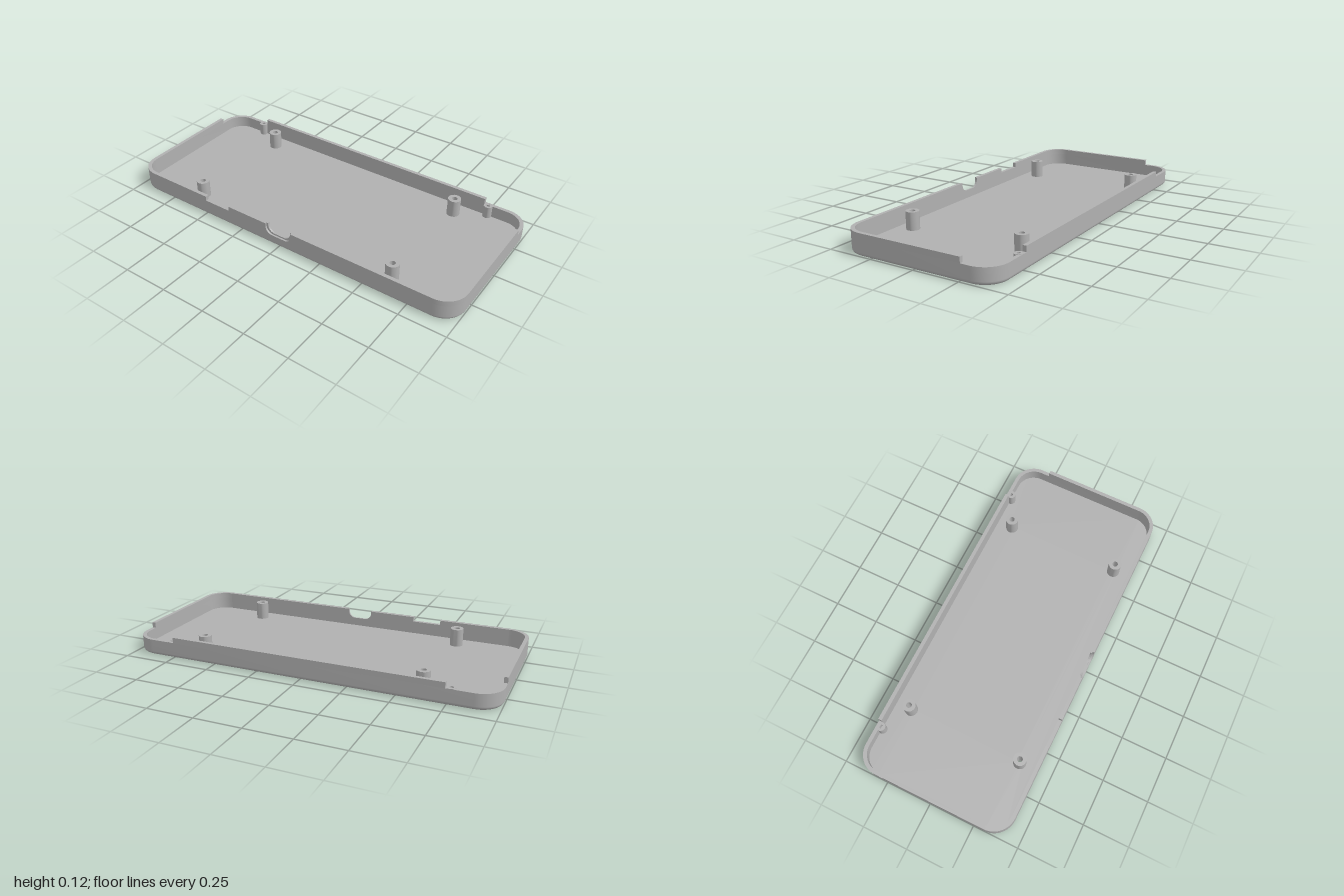
import * as THREE from 'three';
import { toCreasedNormals } from 'three/addons/utils/BufferGeometryUtils.js';

const W = 1, D = 0.43, R = 0.12;               // half width, half depth, corner radius
const FLOOR = 0.02, LOW = 0.086, TOP = 0.116;  // floor, lowered rim and full rim heights
const T = 0.02;                                // wall thickness
const BOSS_X = 0.61, BOSS_Z = 0.322, BORE = 0.015;

export function createModel() {
  const group = new THREE.Group();
  const grey = new THREE.MeshStandardMaterial({ color: 0xb0b0b0 });
  grey.name = 'grey plastic';

  const add = (name, geometry) => {
    const mesh = new THREE.Mesh(geometry, grey);
    mesh.name = name;
    group.add(mesh);
    return mesh;
  };

  // Points with outward directions around one rounded corner, numbered from +x+z
  const centres = [[1, 1], [-1, 1], [-1, -1], [1, -1]];
  const corner = (q, n = 12) => Array.from({ length: n + 1 }, (_, i) => {
    const a = (q + i / n) * Math.PI / 2;
    const nx = Math.cos(a), nz = Math.sin(a);
    return { x: centres[q][0] * (W - R) + nx * R, z: centres[q][1] * (D - R) + nz * R, nx, nz };
  });
  const outline = [1, 2, 3, 0].flatMap((q) => corner(q));
  const inset = (p, d) => new THREE.Vector2(p.x - p.nx * d, p.z - p.nz * d);

  // Flat plate with the four screw holes
  const plate = (d) => {
    const shape = new THREE.Shape(outline.map((p) => inset(p, d)));
    for (const sx of [-1, 1]) for (const sz of [-1, 1]) {
      shape.holes.push(new THREE.Path().absarc(sx * BOSS_X, sz * BOSS_Z, BORE, 0, Math.PI * 2, true));
    }
    return new THREE.ShapeGeometry(shape, 24);
  };
  add('underside', plate(FLOOR).rotateX(Math.PI / 2));
  add('floor', plate(T / 2).rotateX(-Math.PI / 2).translate(0, FLOOR, 0));

  // Rounded lower edge
  const pos = [], nor = [], idx = [], steps = 6, count = outline.length;
  for (let k = 0; k <= steps; k++) {
    const a = (1 - k / steps) * Math.PI / 2, c = Math.cos(a), s = Math.sin(a);
    outline.forEach((p, i) => {
      const v = inset(p, FLOOR * (1 - c));
      pos.push(v.x, FLOOR * (1 - s), v.y);
      nor.push(p.nx * c, -s, p.nz * c);
      if (k < steps) {
        const a0 = k * count + i, b0 = k * count + (i + 1) % count;
        idx.push(a0, a0 + count, b0, b0, a0 + count, b0 + count);
      }
    });
  }
  const edge = new THREE.BufferGeometry();
  edge.setAttribute('position', new THREE.Float32BufferAttribute(pos, 3));
  edge.setAttribute('normal', new THREE.Float32BufferAttribute(nor, 3));
  edge.setIndex(idx);
  add('roundedLowerEdge', edge);

  // Wall following a run of outline points between two heights
  const wall = (name, points, y0, y1) => {
    const flip = (v) => new THREE.Vector2(v.x, -v.y);
    const outer = points.map((p) => flip(inset(p, 0)));
    const inner = points.map((p) => flip(inset(p, T))).reverse();
    const geo = new THREE.ExtrudeGeometry(new THREE.Shape([...outer, ...inner]),
      { depth: y1 - y0, bevelEnabled: false });
    add(name, toCreasedNormals(geo.rotateX(-Math.PI / 2).translate(0, y0, 0), 0.5));
  };
  wall('sideAndBackWall', outline, FLOOR, LOW);
  wall('leftUpperWall', [{ x: W, z: -0.26, nx: 1, nz: 0 }, ...corner(0)], LOW, TOP);
  wall('rightUpperWall', [...corner(1), { x: -W, z: -0.26, nx: -1, nz: 0 }], LOW, TOP);
  wall('backUpperWall', [-0.745, 0.745].map((x) => ({ x, z: -D, nx: 0, nz: -1 })), LOW, TOP);

  // Front wall in two layers, so the port opening has a stepped rim
  const frontLayer = (name, half, bottom, z) => {
    const e = W - R, r = 0.04;
    const s = new THREE.Shape();
    s.moveTo(-e, FLOOR);
    s.lineTo(e, FLOOR);
    s.lineTo(e, TOP);
    s.lineTo(half, TOP);
    s.lineTo(half, bottom + r);
    s.absarc(half - r, bottom + r, r, 0, -Math.PI / 2, true);
    s.absarc(r - half, bottom + r, r, -Math.PI / 2, -Math.PI, true);
    s.lineTo(-half, TOP);
    s.lineTo(-0.33, TOP);
    s.lineTo(-0.33, 0.09);
    s.lineTo(-0.49, 0.09);
    s.lineTo(-0.49, TOP);
    s.lineTo(-e, TOP);
    const geo = new THREE.ExtrudeGeometry(s, { depth: T / 2, bevelEnabled: false, curveSegments: 10 });
    add(name, toCreasedNormals(geo.translate(0, 0, z), 0.5));
  };
  frontLayer('frontWallInner', 0.07, 0.065, D - T);
  frontLayer('frontWallOuter', 0.08, 0.057, D - T / 2);

  // Hollow round posts
  const post = (name, r, bore, bottom, top, x, z) => {
    const profile = [[r, FLOOR], [r, top], [bore, top], [bore, bottom]];
    if (bottom > 0) profile.push([0, bottom]);
    const geo = new THREE.LatheGeometry(profile.map(([a, b]) => new THREE.Vector2(a, b)), 24);
    add(name, toCreasedNormals(geo, 0.6)).position.set(x, 0, z);
  };
  for (const sx of [-1, 1]) {
    const side = sx > 0 ? 'left' : 'right';
    post(side + 'FrontScrewBoss', 0.035, BORE, 0, TOP, sx * BOSS_X, BOSS_Z);
    post(side + 'BackScrewBoss', 0.035, BORE, 0, TOP, sx * BOSS_X, -BOSS_Z);
    post(side + 'BackPin', 0.024, 0.01, 0.05, LOW + 0.001, sx * 0.77, -0.406);
  }
  return group;
}
